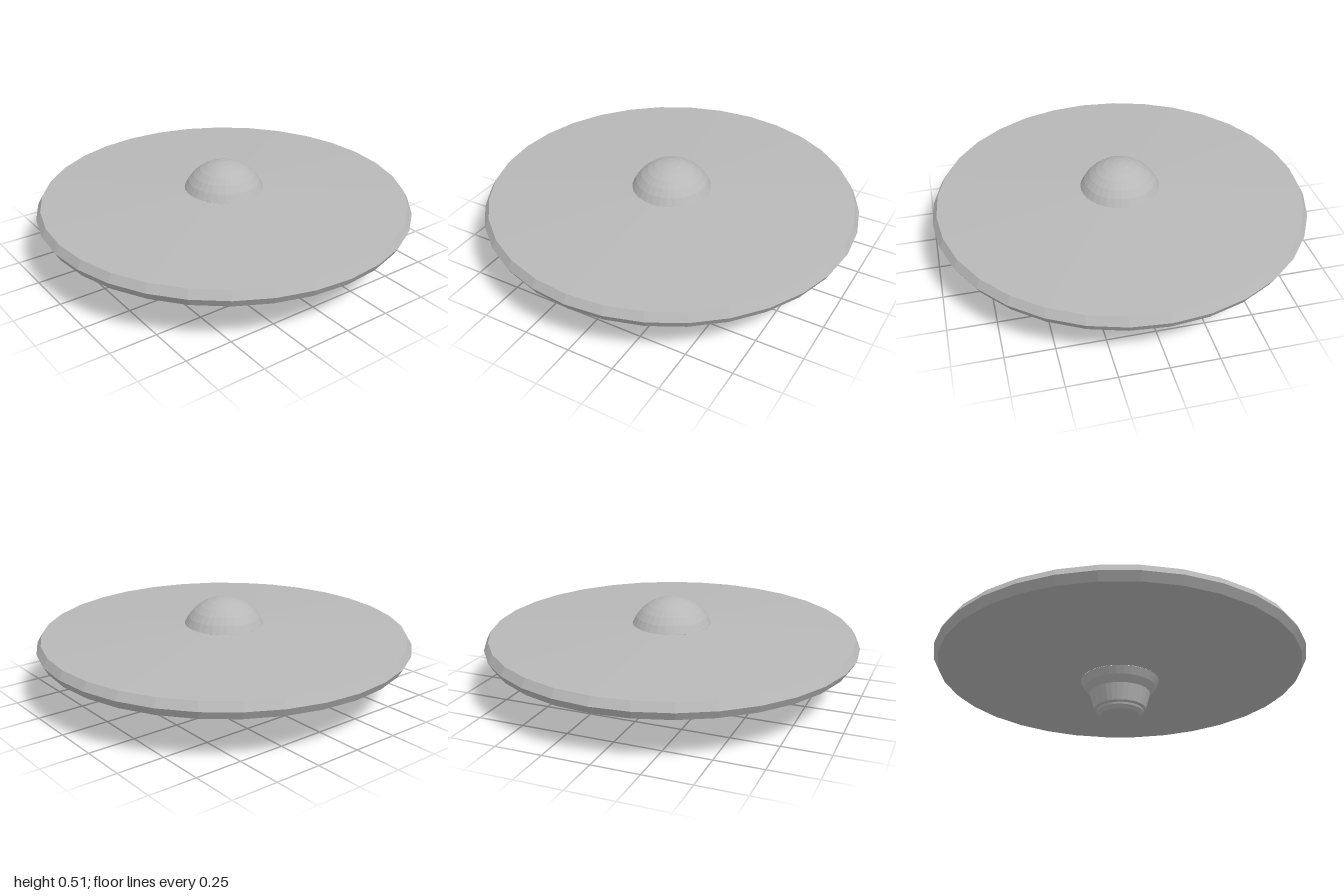
import * as THREE from 'three';

const SIDES = 32;
const CORE_Y = 0.286;
const CORE_R = 0.229;

export function createModel() {
  const grey = new THREE.MeshStandardMaterial({ color: 0xb8b8b8, flatShading: true });
  grey.name = 'hullGrey';
  const model = new THREE.Group();
  model.name = 'flyingSaucer';

  // Revolve a profile of [radius, height] pairs, listed from bottom to top
  const addLathe = (name, profile) => {
    const points = profile.map(([r, y]) => new THREE.Vector2(r, y));
    const mesh = new THREE.Mesh(new THREE.LatheGeometry(points, SIDES), grey);
    mesh.name = name;
    model.add(mesh);
  };

  // Points on the spherical core, in steps of 11.25 degrees of latitude
  const arc = (from, to) => {
    const points = [];
    for (let i = from; i <= to; i++) {
      const a = (i * Math.PI) / 16;
      points.push([Math.max(0, CORE_R * Math.cos(a)), CORE_Y + CORE_R * Math.sin(a)]);
    }
    return points;
  };

  // Wide shallow disc with a bevelled rim
  addLathe('disc', [
    [0.21, 0.2], [0.976, 0.243], [1, 0.286], [0.976, 0.329], [0.21, 0.372],
  ]);

  // Dome on top
  addLathe('dome', arc(2, 8));

  // Rounded shoulder under the disc, narrowing to a stepped, closed base
  addLathe('lowerPod', [
    [0, 0], [0.104, 0], [0.122, 0.018], [0.125, 0.028], [0.137, 0.036],
    ...arc(-4, -2),
  ]);

  return model;
}
